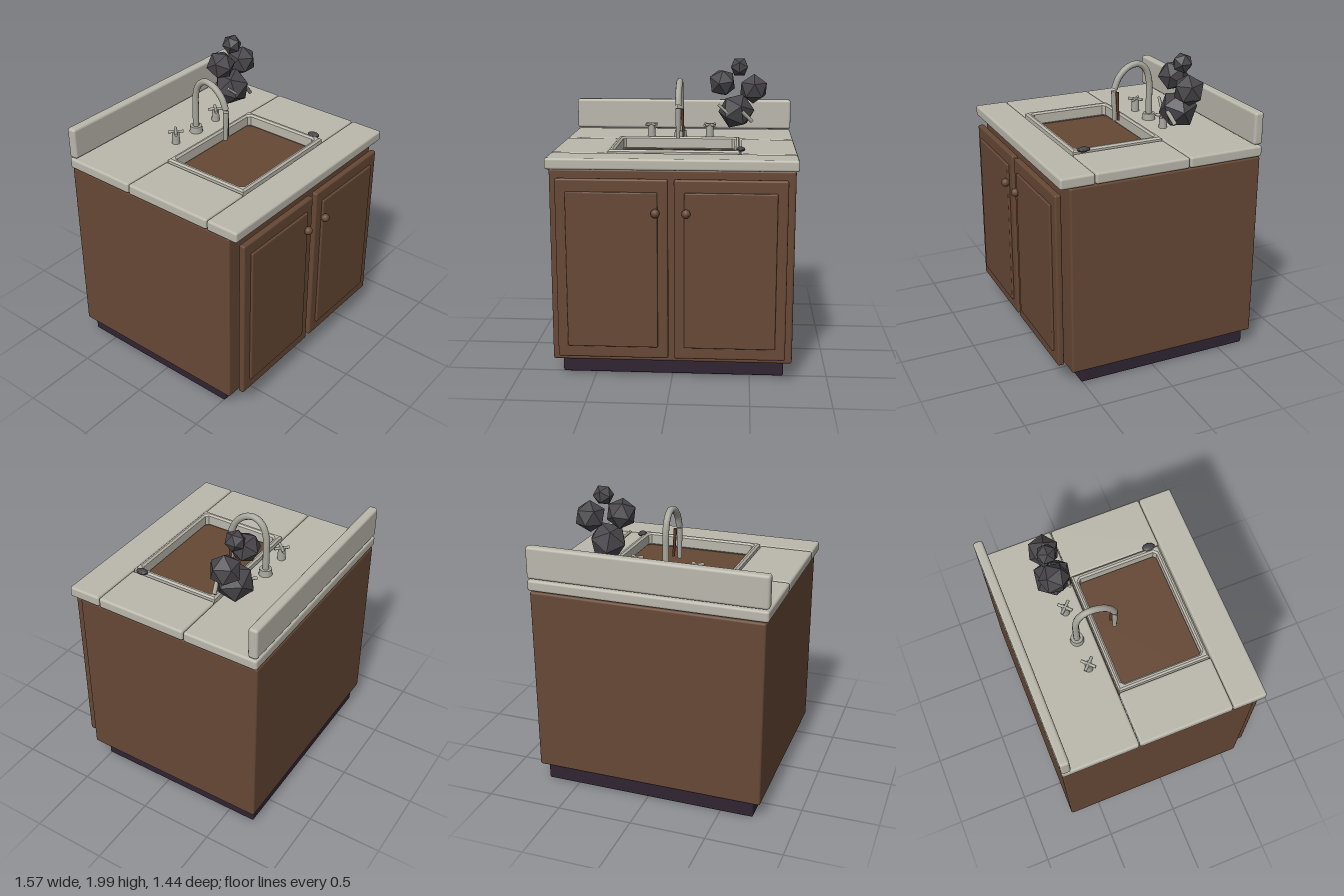
import * as THREE from 'three';
import { RoundedBoxGeometry } from 'three/addons/geometries/RoundedBoxGeometry.js';

const mat = (name, color, flatShading = false) => {
  const m = new THREE.MeshStandardMaterial({ color, flatShading });
  m.name = name;
  return m;
};

export function createModel() {
  const wood = mat('brown wood', 0x664835);
  const plinthMat = mat('dark plinth', 0x2f2432);
  const stone = mat('pale stone', 0xbbb8ac);
  const metal = mat('grey metal', 0xa8a79d);
  const rust = mat('rust brown', 0x5c3a28);
  const coal = mat('charcoal', 0x48464a, true);

  const model = new THREE.Group();
  const add = (name, geometry, material, x = 0, y = 0, z = 0) => {
    const mesh = new THREE.Mesh(geometry, material);
    mesh.name = name;
    mesh.position.set(x, y, z);
    model.add(mesh);
    return mesh;
  };
  // Softened box given by its limits on each axis
  const box = (name, material, [x0, x1], [y0, y1], [z0, z1], r = 0.012) =>
    add(name, new RoundedBoxGeometry(x1 - x0, y1 - y0, z1 - z0, 2, r), material,
      (x0 + x1) / 2, (y0 + y1) / 2, (z0 + z1) / 2);
  // Straight round bar between two points
  const bar = (name, material, a, b, r0, r1 = r0, sides = 10) => {
    const p = new THREE.Vector3(...a), q = new THREE.Vector3(...b);
    const d = q.clone().sub(p);
    const mesh = add(name, new THREE.CylinderGeometry(r1, r0, d.length(), sides), material);
    mesh.position.copy(p).add(q).multiplyScalar(0.5);
    mesh.quaternion.setFromUnitVectors(new THREE.Vector3(0, 1, 0), d.normalize());
    return mesh;
  };

  // Cabinet
  box('plinth', plinthMat, [-0.72, 0.72], [0, 0.112], [-0.685, 0.51]);
  box('cabinetBody', wood, [-0.77, 0.77], [0.115, 1.37], [-0.715, 0.59], 0.014);

  // Doors, raised panels and knobs, mirrored
  for (const s of [-1, 1]) {
    const side = s < 0 ? 'right' : 'left';
    const span = (a, b) => (s < 0 ? [-b, -a] : [a, b]);
    box(side + 'Door', wood, span(0.018, 0.722), [0.163, 1.322], [0.625, 0.667]);
    box(side + 'DoorPanel', wood, span(0.083, 0.657), [0.24, 1.242], [0.655, 0.681], 0.008);
    add(side + 'Knob', new THREE.SphereGeometry(0.028, 16, 12), wood, s * 0.095, 1.115, 0.692);
  }

  // Countertop slabs around the basin, and backsplash
  box('frontSlab', stone, [-0.785, 0.785], [1.375, 1.447], [0.432, 0.657], 0.015);
  box('backSlab', stone, [-0.785, 0.785], [1.375, 1.447], [-0.717, -0.205], 0.015);
  box('rightSlab', stone, [-0.785, -0.425], [1.375, 1.447], [-0.2, 0.427], 0.015);
  box('leftSlab', stone, [0.425, 0.785], [1.375, 1.447], [-0.2, 0.427], 0.015);
  box('backsplash', stone, [-0.785, 0.785], [1.455, 1.668], [-0.717, -0.653], 0.018);

  // Basin rim: bevelled frame with cut inner corners
  const b = 0.012;
  const rim = new THREE.Shape();
  const w = 0.42 - b, h = 0.308 - b;
  rim.moveTo(-w, -h).lineTo(w, -h).lineTo(w, h).lineTo(-w, h).closePath();
  const hole = new THREE.Path();
  const iw = 0.383 + b, ih = 0.273 + b, c = 0.025;
  hole.moveTo(-iw + c, -ih).lineTo(-iw, -ih + c).lineTo(-iw, ih - c).lineTo(-iw + c, ih)
    .lineTo(iw - c, ih).lineTo(iw, ih - c).lineTo(iw, -ih + c).lineTo(iw - c, -ih).closePath();
  rim.holes.push(hole);
  const rimGeo = new THREE.ExtrudeGeometry(rim, {
    depth: 0.066, bevelThickness: b, bevelSize: b, bevelSegments: 1,
  });
  rimGeo.rotateX(-Math.PI / 2);
  add('basinRim', rimGeo, stone, 0, 1.387, 0.112);

  // Faucet
  const fz = -0.315;
  add('faucetBase', new THREE.CylinderGeometry(0.04, 0.045, 0.045, 16), metal, 0, 1.468, fz);
  const neck = new THREE.CatmullRomCurve3([
    [1.45, fz], [1.6, fz], [1.72, -0.312], [1.8, -0.285], [1.84, -0.23],
    [1.825, -0.155], [1.765, -0.09], [1.69, -0.057],
  ].map(([y, z]) => new THREE.Vector3(0, y, z)));
  add('faucetNeck', new THREE.TubeGeometry(neck, 28, 0.022, 10), metal);
  add('spoutTip', new THREE.CircleGeometry(0.022, 10).rotateX(Math.PI / 2), metal, 0, 1.692, -0.057);
  bar('waterStream', metal, [-0.002, 1.47, -0.058], [0, 1.675, -0.055], 0.014, 0.02);
  bar('rustStreak', rust, [0.036, 1.48, -0.07], [0.024, 1.67, -0.066], 0.008, 0.012, 6);

  // Cross handles
  for (const x of [-0.205, 0.205]) {
    add('handleStem', new THREE.CylinderGeometry(0.024, 0.028, 0.09, 12), metal, x, 1.487, fz);
    for (const s of [-1, 1]) {
      bar('handleBar', metal, [x - 0.036, 1.53, fz - s * 0.036], [x + 0.036, 1.53, fz + s * 0.036], 0.01);
    }
  }

  // Cluster of faceted lumps above the counter
  const lumps = [
    [0.39, 1.628, -0.322, 0.128, 0.4], [0.29, 1.823, -0.335, 0.1, 1.3],
    [0.508, 1.782, -0.33, 0.104, 2.2], [0.408, 1.932, -0.335, 0.068, 0.0],
  ];
  for (const [x, y, z, r, turn] of lumps) {
    add('lump', new THREE.IcosahedronGeometry(r), coal, x, y, z).rotation.set(turn * 0.5, turn, turn * 0.3);
  }
  // Thin pale prongs in front of the lowest lump
  bar('prong', metal, [0.265, 1.68, -0.25], [0.345, 1.61, -0.235], 0.01, 0.01, 6);
  bar('prong', metal, [0.43, 1.635, -0.225], [0.5, 1.565, -0.245], 0.014, 0.014, 6);
  bar('prong', metal, [0.375, 1.62, -0.225], [0.392, 1.69, -0.235], 0.007, 0.007, 6);

  // Small pebble on the rim
  add('pebble', new THREE.IcosahedronGeometry(1, 1), coal, 0.425, 1.466, 0.352).scale.set(0.029, 0.016, 0.043);

  return model;
}
